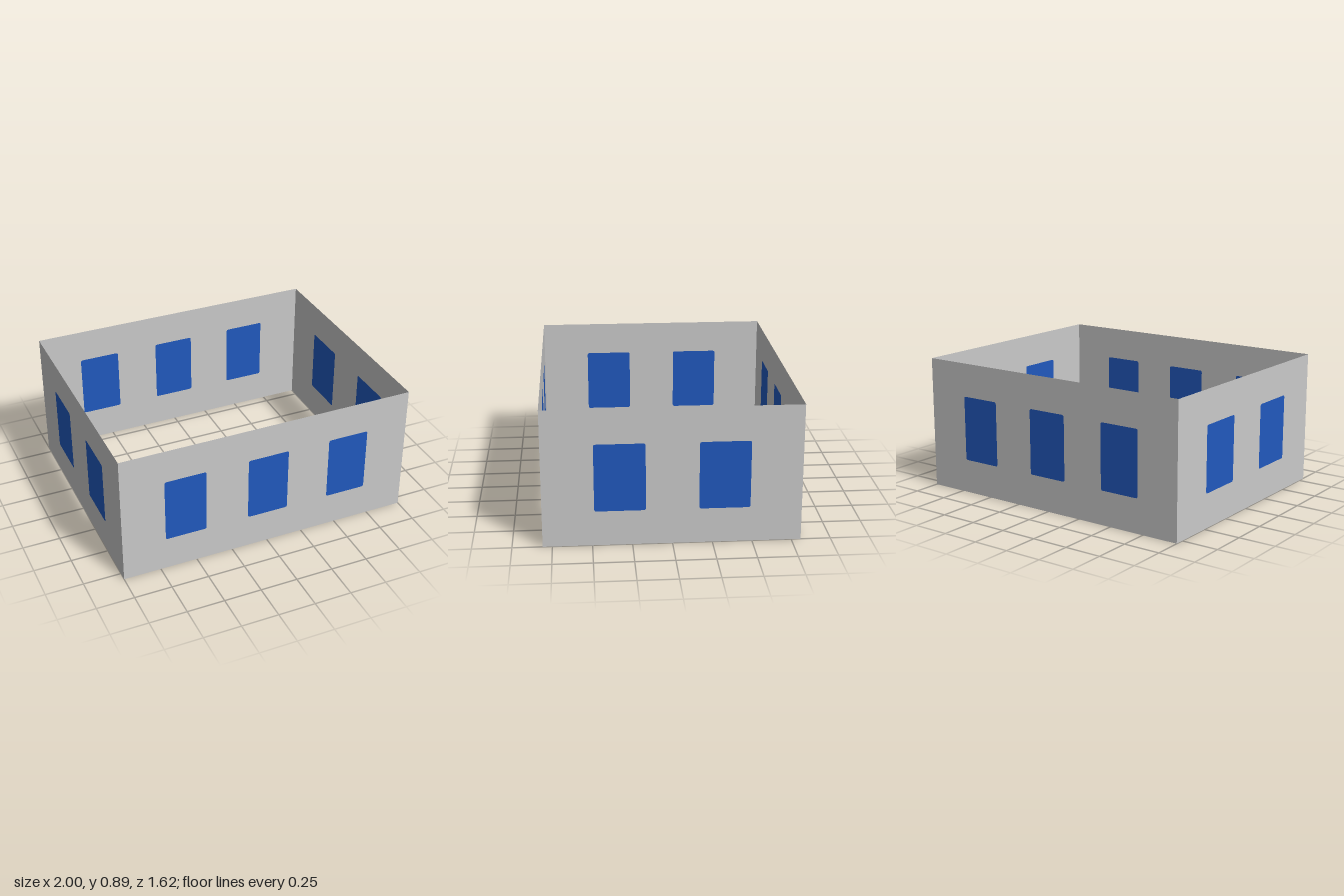
import * as THREE from 'three';

const HALF_X = 1, HALF_Z = 0.81, HEIGHT = 0.895;
const SILL = 0.228, WINDOW_HEIGHT = 0.44, CORNER = 0.015;

// Rounded rectangle path standing on y0, centred on x
function traceWindow(path, x, width) {
  const l = x - width / 2, r = x + width / 2, b = SILL, t = SILL + WINDOW_HEIGHT, c = CORNER;
  path.moveTo(l + c, b);
  path.lineTo(r - c, b);
  path.quadraticCurveTo(r, b, r, b + c);
  path.lineTo(r, t - c);
  path.quadraticCurveTo(r, t, r - c, t);
  path.lineTo(l + c, t);
  path.quadraticCurveTo(l, t, l, t - c);
  path.lineTo(l, b + c);
  path.quadraticCurveTo(l, b, l + c, b);
  return path;
}

export function createModel() {
  const wallGrey = new THREE.MeshStandardMaterial({ color: 0xcacaca, side: THREE.DoubleSide });
  wallGrey.name = 'wallGrey';
  const windowBlue = new THREE.MeshStandardMaterial({ color: 0x2159be, side: THREE.DoubleSide });
  windowBlue.name = 'windowBlue';

  // Thin wall facing +z, with panes set flush in its openings
  function makeWall(name, half, centres, width) {
    const wall = new THREE.Group();
    wall.name = name;
    const outline = new THREE.Shape([
      new THREE.Vector2(-half, 0), new THREE.Vector2(half, 0),
      new THREE.Vector2(half, HEIGHT), new THREE.Vector2(-half, HEIGHT),
    ]);
    outline.holes = centres.map((x) => traceWindow(new THREE.Path(), x, width));
    const panel = new THREE.Mesh(new THREE.ShapeGeometry(outline, 4), wallGrey);
    panel.name = 'wallPanel';
    wall.add(panel);
    centres.forEach((x) => {
      const pane = new THREE.Mesh(
        new THREE.ShapeGeometry(traceWindow(new THREE.Shape(), x, width), 4), windowBlue);
      pane.name = 'window';
      wall.add(pane);
    });
    return wall;
  }

  const model = new THREE.Group();
  model.name = 'openRoom';

  // Four walls, open at top and bottom
  ['front', 'left', 'back', 'right'].forEach((side, i) => {
    const long = i % 2 === 0;
    const wall = long
      ? makeWall(side + 'Wall', HALF_X, [-0.57, 0, 0.57], 0.28)
      : makeWall(side + 'Wall', HALF_Z, [-0.326, 0.326], 0.32);
    const angle = i * Math.PI / 2, distance = long ? HALF_Z : HALF_X;
    wall.rotation.y = angle;
    wall.position.set(Math.sin(angle) * distance, 0, Math.cos(angle) * distance);
    model.add(wall);
  });
  return model;
}
